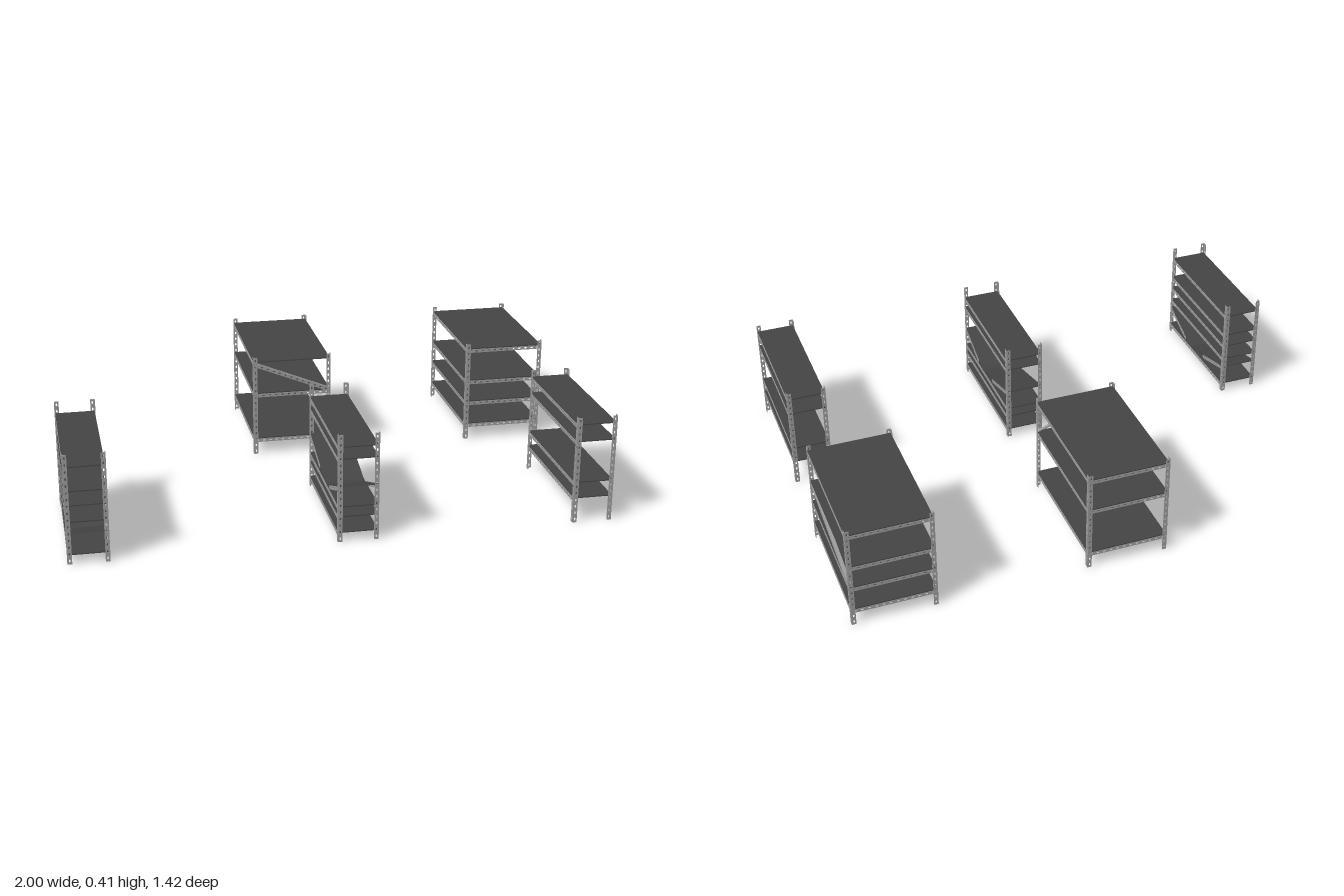
import * as THREE from 'three';

const steel = new THREE.MeshStandardMaterial({ color: 0x999999 });
const panel = new THREE.MeshStandardMaterial({ color: 0x444444 });
const V = (x, y, z) => new THREE.Vector3(x, y, z);
const T = 0.002;          // sheet metal thickness
const W = 0.016;          // width of an angle-iron flange
const HEIGHT = 0.41;
const BEAM = 0.014;
const cache = new Map();

// Flat metal strip along x, with a row of six-sided holes
function stripGeometry(length, width, holed) {
  const key = [length.toFixed(3), width, holed].join();
  if (cache.has(key)) return cache.get(key);
  const s = new THREE.Shape([[0, 0], [length, 0], [length, width], [0, width]]
    .map(([x, y]) => new THREE.Vector2(x, y)));
  if (holed) {
    const n = Math.round(length / 0.025);
    for (let i = 0; i < n; i++) {
      const cx = (i + 0.5) * length / n;
      s.holes.push(new THREE.Path(Array.from({ length: 6 }, (_, k) => {
        const a = -k * Math.PI / 3;
        return new THREE.Vector2(cx + 0.006 * Math.cos(a), width / 2 + 0.0035 * Math.sin(a));
      })));
    }
  }
  const g = new THREE.ExtrudeGeometry(s, { depth: T, bevelEnabled: false });
  g.translate(0, 0, -T / 2);
  cache.set(key, g);
  return g;
}

// Strip from a to b, spreading sideways towards 'side'
function strip(name, a, b, side, width, holed = true) {
  const dir = b.clone().sub(a);
  const length = dir.length();
  dir.normalize();
  const up = side.clone().addScaledVector(dir, -side.dot(dir)).normalize();
  const mesh = new THREE.Mesh(stripGeometry(length, width, holed), steel);
  mesh.applyMatrix4(new THREE.Matrix4().makeBasis(dir, up, dir.clone().cross(up)).setPosition(a));
  mesh.name = name;
  return mesh;
}

// Angle-iron beam: holed web hanging down plus a lip pointing inward
function beam(name, a, b, inward) {
  const g = new THREE.Group();
  g.name = name;
  g.add(strip('beamWeb', a, b, V(0, -1, 0), BEAM));
  g.add(strip('beamLip', a, b, inward, 0.012, false));
  return g;
}

// Flat panel spanning x0..x1, running from (y, z) to (y, z)
function plate(name, x0, x1, [ya, za], [yb, zb]) {
  const mesh = new THREE.Mesh(
    new THREE.BoxGeometry(x1 - x0, 0.004, Math.hypot(yb - ya, zb - za)), panel);
  mesh.position.set((x0 + x1) / 2, (ya + yb) / 2, (za + zb) / 2);
  mesh.rotation.x = -Math.atan2(yb - ya, zb - za);
  mesh.name = name;
  return mesh;
}

function rack({ name, x0, x1, z0, z1, levels, ends, broken, fallenEnd, fallenSide }) {
  const g = new THREE.Group();
  g.name = name;
  const e = 0.003;        // beams sit just inside the posts
  const xa = x0 + e, xb = x1 - e, za = z0 + e, zb = z1 - e;

  // Corner posts: two flanges each, open to the inside
  for (const [x, sx] of [[x0 + T / 2, 1], [x1 - T / 2, -1]])
    for (const [z, sz] of [[z0 + T / 2, 1], [z1 - T / 2, -1]]) {
      const post = new THREE.Group();
      post.name = 'post';
      post.add(strip('postFlange', V(x, 0, z), V(x, HEIGHT, z), V(sx, 0, 0), W));
      post.add(strip('postFlange', V(x, 0, z), V(x, HEIGHT, z), V(0, 0, sz), W));
      g.add(post);
    }

  // Shelves with their supporting beams
  levels.forEach((y, i) => {
    const shelf = new THREE.Group();
    shelf.name = 'shelf';
    shelf.add(plate('shelfPanel', xa, xb, [y + 0.003, za], [y + 0.003, zb]));
    for (const [x, s] of [[xa, 1], [xb, -1]]) {
      const drop = s < 0 && fallenSide === i ? 0.085 : 0;
      shelf.add(beam('sideBeam', V(x, y - drop, za), V(x, y, zb), V(s, 0, 0)));
    }
    if (ends) for (const [z, s] of [[za, 1], [zb, -1]]) {
      const drop = s < 0 && fallenEnd === i ? 0.125 : 0;
      shelf.add(beam('endBeam', V(xa, y, z), V(xb, y - drop, z), V(0, 0, s)));
    }
    g.add(shelf);
  });

  // Collapsed shelf folded into a V, with snapped beams
  if (broken) {
    const fold = new THREE.Group();
    fold.name = 'collapsedShelf';
    const low = broken - 0.082, zm = 0.49;
    fold.add(plate('brokenPanel', xa, xb, [low, zm], [broken, zb]));
    fold.add(plate('brokenPanel', xa, xb, [broken, za], [low, zm]));
    for (const [x, s] of [[xa, 1], [xb, -1]]) {
      fold.add(beam('brokenBeam', V(x, broken, zb), V(x, broken - 0.064, 0.54), V(s, 0, 0)));
      fold.add(beam('brokenBeam', V(x, broken, za), V(x, broken - 0.054, 0.37), V(s, 0, 0)));
    }
    g.add(fold);
  }
  return g;
}

export function createModel() {
  const model = new THREE.Group();
  model.name = 'shelvingRacks';
  const front = { z0: 0.175, z1: 0.71 }, back = { z0: -0.71, z1: -0.175, ends: true };
  [
    { name: 'narrowRackRight', x0: -1, x1: -0.85, ...front,
      levels: [0.36, 0.27, 0.217, 0.155, 0.033], broken: 0.118 },
    { name: 'narrowRackMiddle', x0: -0.04, x1: 0.11, ...front,
      levels: [0.36, 0.315, 0.132, 0.094, 0.033], broken: 0.213 },
    { name: 'narrowRackLeft', x0: 0.84, x1: 0.99, ...front,
      levels: [0.38, 0.315, 0.155, 0.094] },
    { name: 'wideRackMiddle', x0: -0.2, x1: 0.115, ...back,
      levels: [0.388, 0.256, 0.064], fallenEnd: 0 },
    { name: 'wideRackLeft', x0: 0.682, x1: 1, ...back,
      levels: [0.388, 0.252, 0.161, 0.064], fallenSide: 1 },
  ].forEach(r => model.add(rack(r)));
  return model;
}
